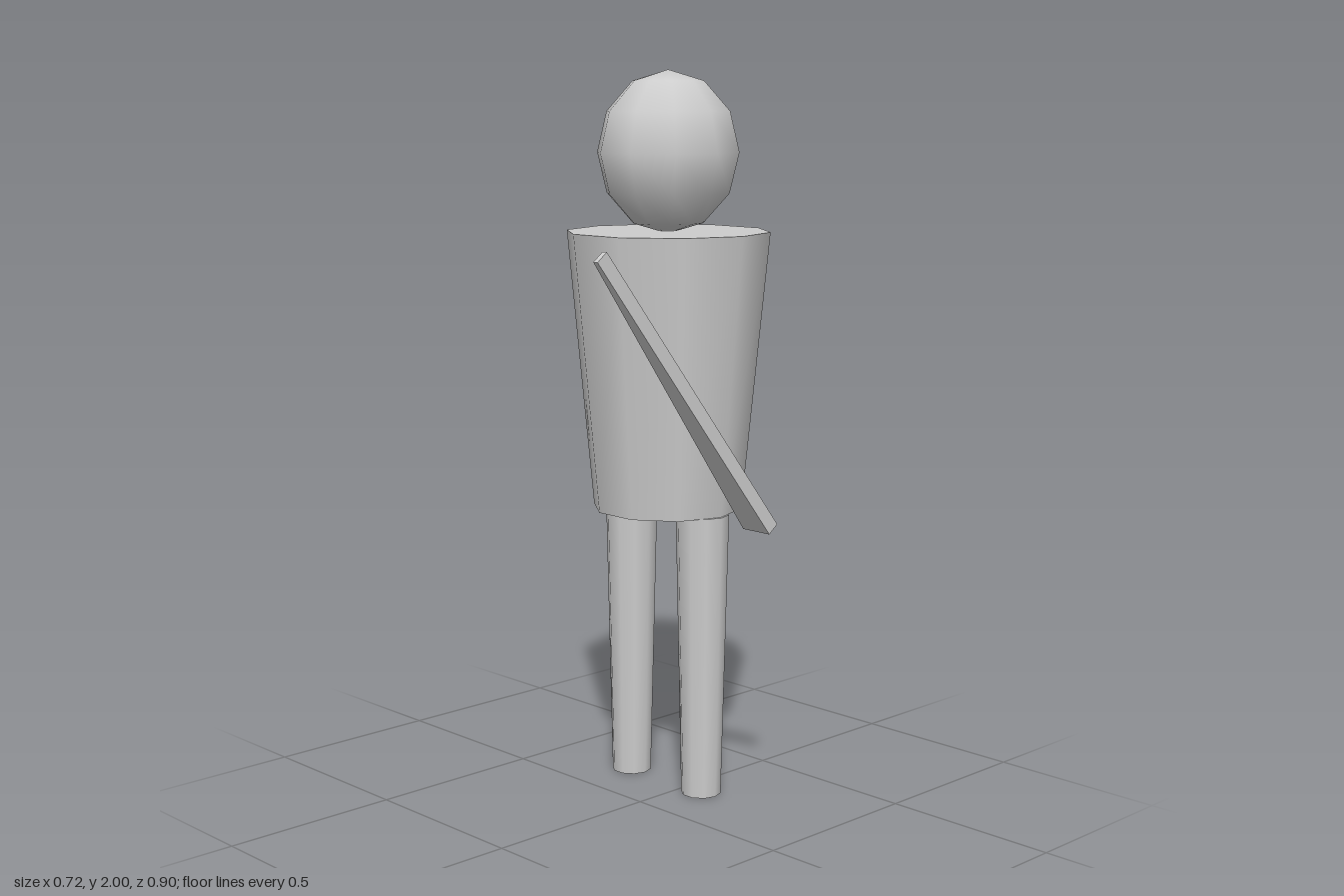
import * as THREE from 'three';

const CX = -0.081, CZ = -0.182; // body axis

export function createModel() {
  const group = new THREE.Group();
  const grey = new THREE.MeshStandardMaterial({ color: 0xcccccc });
  grey.name = 'plain grey';

  const add = (name, geometry, x, y, z) => {
    const mesh = new THREE.Mesh(geometry, grey);
    mesh.name = name;
    mesh.position.set(x, y, z);
    group.add(mesh);
    return mesh;
  };
  // Ten-sided tapered column with corners on the x axis
  const column = (top, bottom, height) =>
    new THREE.CylinderGeometry(top, bottom, height, 10).rotateY(Math.PI / 2);

  // Head: a ten-sided ellipsoid
  const head = new THREE.SphereGeometry(1, 10, 6);
  head.scale(0.188, 0.22, 0.206);
  add('head', head, CX, 1.78, CZ);

  // Torso
  add('torso', column(0.282, 0.208, 0.767), CX, 1.1835, CZ);

  // Legs
  for (const side of [-1, 1]) {
    add(side > 0 ? 'leftLeg' : 'rightLeg', column(0.074, 0.056, 0.8), CX + side * 0.141, 0.4, -0.179);
  }

  // Raised arm: a flat bar narrowing toward its upper front end
  const length = 0.938;
  const arm = new THREE.BoxGeometry(1, length, 0.038);
  const p = arm.attributes.position;
  for (let i = 0; i < p.count; i++) {
    p.setX(i, p.getX(i) * (p.getY(i) > 0 ? 0.015 : 0.094));
  }
  const flatArm = arm.toNonIndexed();
  flatArm.computeVertexNormals();
  add('leftArm', flatArm, 0.314, 1.1835, 0.1475).rotation.x = Math.atan2(0.571, 0.744);

  return group;
}
